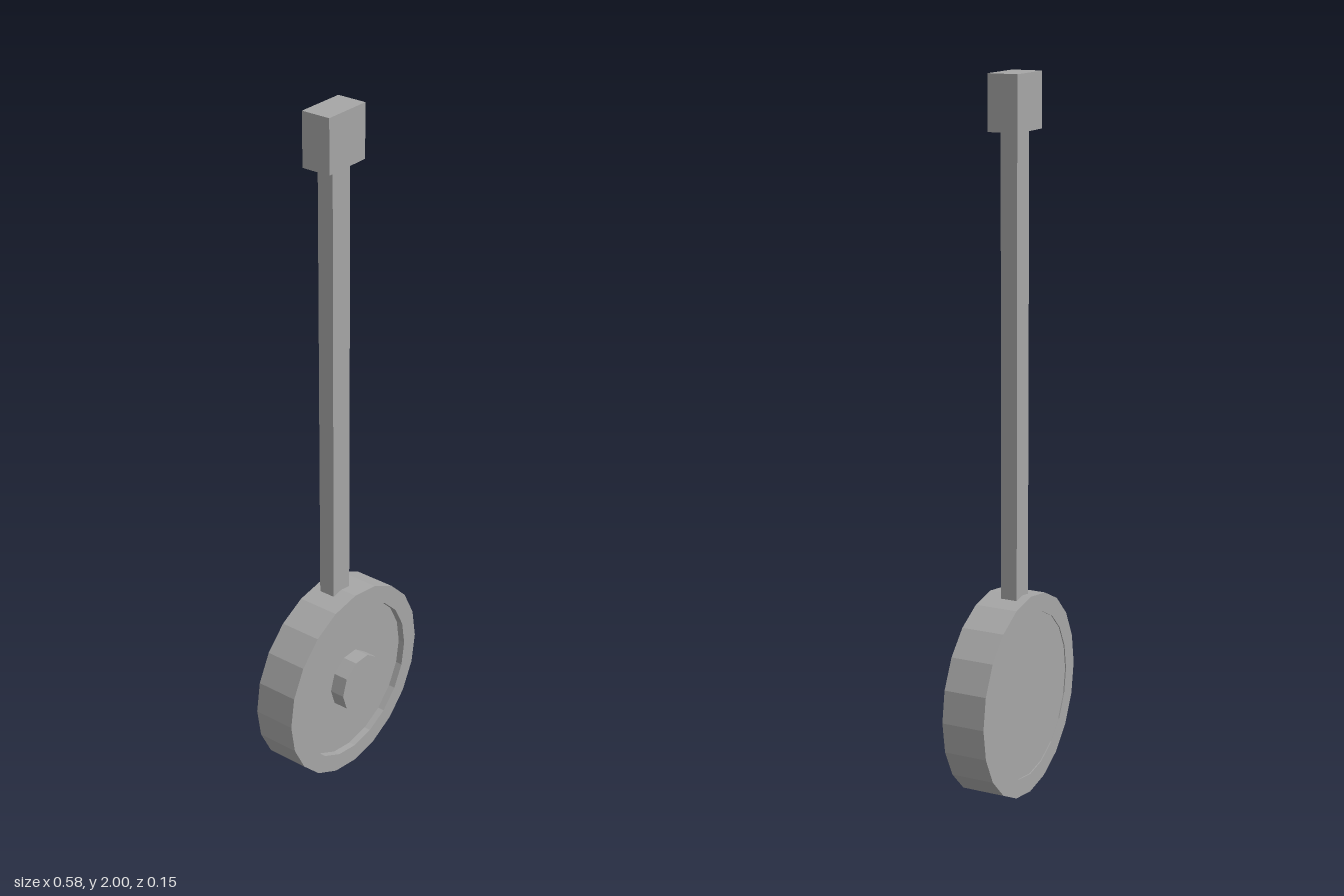
import * as THREE from 'three';

const grey = new THREE.MeshStandardMaterial({ color: 0xa6a6a6, flatShading: true });
grey.name = 'grey metal';

const BOB_Y = 0.289;  // centre height of the bob
const ROD_Z = -0.024; // the rod hangs slightly behind the centre

function addPart(group, name, geometry, x, y, z) {
  const mesh = new THREE.Mesh(geometry, grey);
  mesh.name = name;
  mesh.position.set(x, y, z);
  group.add(mesh);
}

export function createModel() {
  const group = new THREE.Group();
  group.name = 'pendulum';

  // Mounting block at the top and the long flat rod
  addPart(group, 'mountBlock', new THREE.BoxGeometry(0.145, 0.15, 0.086), 0, 1.925, ROD_Z);
  addPart(group, 'rod', new THREE.BoxGeometry(0.071, 1.29, 0.048), 0, 1.21, ROD_Z);

  // Twenty-sided bob: raised rim, recessed front and shallow recessed back
  const profile = [
    [0, -0.071], [0.236, -0.071], [0.236, -0.074], [0.289, -0.074],
    [0.289, 0.05], [0.236, 0.05], [0.236, 0.03], [0, 0.03],
  ].map(([r, h]) => new THREE.Vector2(r, h));
  addPart(group, 'bob', new THREE.LatheGeometry(profile, 20).rotateX(Math.PI / 2), 0, BOB_Y, 0);

  // Ten-sided hub standing on the recessed face
  const hub = new THREE.CylinderGeometry(0.0865, 0.0865, 0.044, 10, 1, false, Math.PI / 2);
  addPart(group, 'hub', hub.rotateX(Math.PI / 2), 0, BOB_Y, 0.052);

  return group;
}
